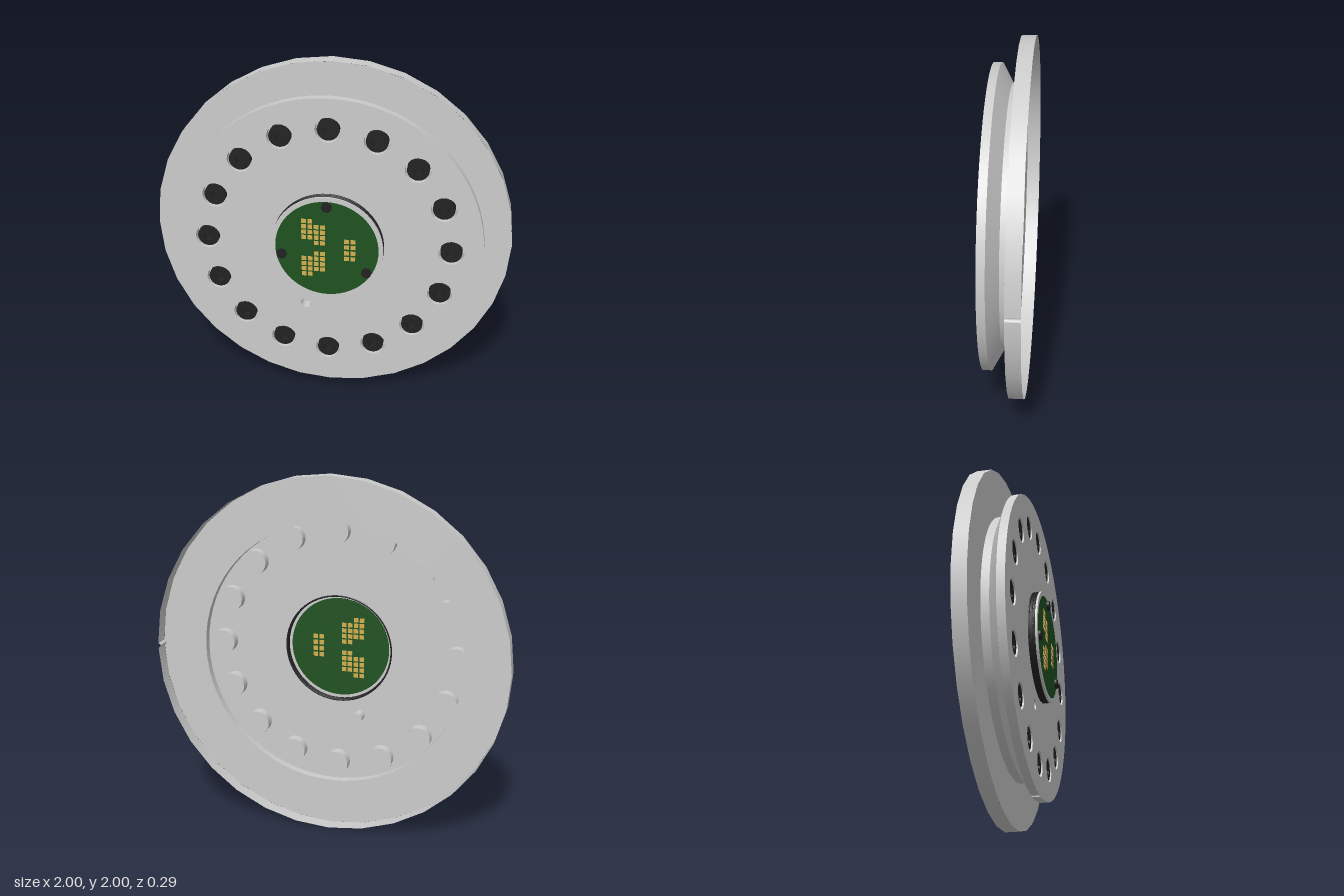
import * as THREE from 'three';

const grey = new THREE.MeshStandardMaterial({ color: 0xcccccc, side: THREE.DoubleSide });
const black = new THREE.MeshStandardMaterial({ color: 0x222222, side: THREE.DoubleSide });
const green = new THREE.MeshStandardMaterial({ color: 0x1f5220 });
const gold = new THREE.MeshStandardMaterial({ color: 0xd2b050 });

export function createModel() {
  const model = new THREE.Group();
  model.name = 'hubPlate';
  const body = new THREE.Group();
  body.name = 'body';
  body.position.y = 1;
  model.add(body);

  const add = (name, geometry, material, x = 0, y = 0, z = 0, parent = body) => {
    const mesh = new THREE.Mesh(geometry, material);
    mesh.name = name;
    mesh.position.set(x, y, z);
    parent.add(mesh);
    return mesh;
  };

  // Open wall around the z axis, from radius r0 at z0 to r1 at z1 (z1 > z0)
  const wall = (r0, z0, r1, z1, seg = 64, start = 0, length = Math.PI * 2) =>
    new THREE.CylinderGeometry(r1, r0, z1 - z0, seg, 1, true, start, length)
      .rotateX(Math.PI / 2).translate(0, 0, (z0 + z1) / 2);

  // Solid cylinder along z
  const rod = (r, z0, z1, seg = 24) =>
    new THREE.CylinderGeometry(r, r, z1 - z0, seg).rotateX(Math.PI / 2).translate(0, 0, (z0 + z1) / 2);

  const circlePath = (x, y, r, seg) => {
    const points = [];
    for (let i = 0; i < seg; i++) {
      const a = (i / seg) * Math.PI * 2;
      points.push(new THREE.Vector2(x + r * Math.cos(a), y + r * Math.sin(a)));
    }
    return points;
  };

  // Flat face with holes, each hole given as [x, y, radius, sides]
  const plate = (r, seg, holes) => {
    const shape = new THREE.Shape(circlePath(0, 0, r, seg));
    for (const h of holes) shape.holes.push(new THREE.Path(circlePath(...h)));
    return new THREE.ShapeGeometry(shape);
  };

  // Rim wall with a small half-round locating groove at angle a
  const notchedRim = (name, r, z0, z1, seg, a) => {
    const g = 0.014;
    const gap = g / r;
    add(name, wall(r, z0, r, z1, seg, a + Math.PI / 2 + gap, Math.PI * 2 - 2 * gap), grey);
    add(name + 'Groove', wall(g, z0, g, z1, 8, a + Math.PI, Math.PI), grey, r * Math.cos(a), r * Math.sin(a));
  };

  // Thin hollow shell, open at the back
  const bolts = [];
  for (let i = 0; i < 16; i++) {
    const a = (i / 16) * Math.PI * 2;
    bolts.push([0.675 * Math.cos(a), 0.675 * Math.sin(a)]);
  }
  const pin = [-0.125, -0.385];
  add('frontFace', plate(0.85, 64, [
    [0, 0, 0.31, 64], [...pin, 0.03, 20], ...bolts.map(([x, y]) => [x, y, 0.07, 24]),
  ]), grey, 0, 0, 0.085);
  notchedRim('frontRim', 0.85, 0.04, 0.085, 64, -Math.PI / 2);
  add('taper', wall(0.74, -0.02, 0.85, 0.04), grey);
  add('waist', wall(0.74, -0.065, 0.74, -0.02), grey);
  add('flangeFace', plate(1, 32, [[0, 0, 0.74, 64]]), grey, 0, 0, -0.065);
  notchedRim('flangeRim', 1, -0.145, -0.065, 32, 0);

  // Sunk socket bolts in their counterbores
  const head = new THREE.Shape(circlePath(0, 0, 0.06, 24));
  head.holes.push(new THREE.Path(circlePath(0, 0, 0.032, 6)));
  const headGeometry = new THREE.ExtrudeGeometry(head, { depth: 0.034, bevelEnabled: false });
  for (const [x, y] of bolts) {
    const bolt = new THREE.Group();
    bolt.name = 'bolt';
    bolt.position.set(x, y, 0);
    body.add(bolt);
    add('counterbore', wall(0.07, 0.03, 0.07, 0.085, 24), grey, 0, 0, 0, bolt);
    add('counterboreFloor', new THREE.CircleGeometry(0.07, 24), grey, 0, 0, 0.03, bolt);
    add('boltHead', headGeometry, black, 0, 0, 0.045, bolt);
    add('socketFloor', new THREE.CircleGeometry(0.058, 24), black, 0, 0, 0.046, bolt);
  }

  // Blind pin hole
  add('pinHole', wall(0.03, 0.02, 0.03, 0.085, 20), grey, ...pin);
  add('pinHoleFloor', new THREE.CircleGeometry(0.03, 20), grey, ...pin, 0.02);

  // Raised centre housing: dark ribbed wall with a grey bezel
  add('housingWall', wall(0.302, 0.085, 0.302, 0.125), black);
  for (const z of [0.088, 0.103, 0.118]) {
    add('housingRib', new THREE.TorusGeometry(0.305, 0.005, 8, 64), black, 0, 0, z);
  }
  add('bezelEdge', wall(0.31, 0.123, 0.31, 0.135), grey);
  for (const z of [0.123, 0.135]) {
    add('bezelFace', plate(0.31, 64, [[0, 0, 0.285, 64]]), grey, 0, 0, z);
  }
  add('circuitBoard', rod(0.287, 0.125, 0.134, 64), green);

  // Contact pads, showing on both sides of the board
  const padGeometry = new THREE.BoxGeometry(0.026, 0.025, 0.013);
  const pad = (x, y) => add('contactPad', padGeometry, gold, x, y, 0.1295);
  for (const side of [1, -1]) {
    for (let row = 0; row < 5; row++) {
      for (let col = 0; col < 4; col++) {
        if ((row === 0 && col > 1) || (row === 4 && col < 2)) continue;
        pad(-0.126 + col * 0.0345, side * (0.163 - row * 0.0325));
      }
    }
  }
  for (const x of [0.11, 0.145]) {
    for (const y of [0.053, 0.018, -0.018, -0.053]) pad(x, y);
  }

  // Board screws
  for (const [x, y] of [[0, 0.255], [-0.25, -0.045], [0.22, -0.13]]) {
    add('boardScrew', rod(0.028, 0.134, 0.147, 20), black, x, y);
    add('screwTip', rod(0.024, 0.121, 0.126, 20), green, x, y);
  }

  return model;
}
